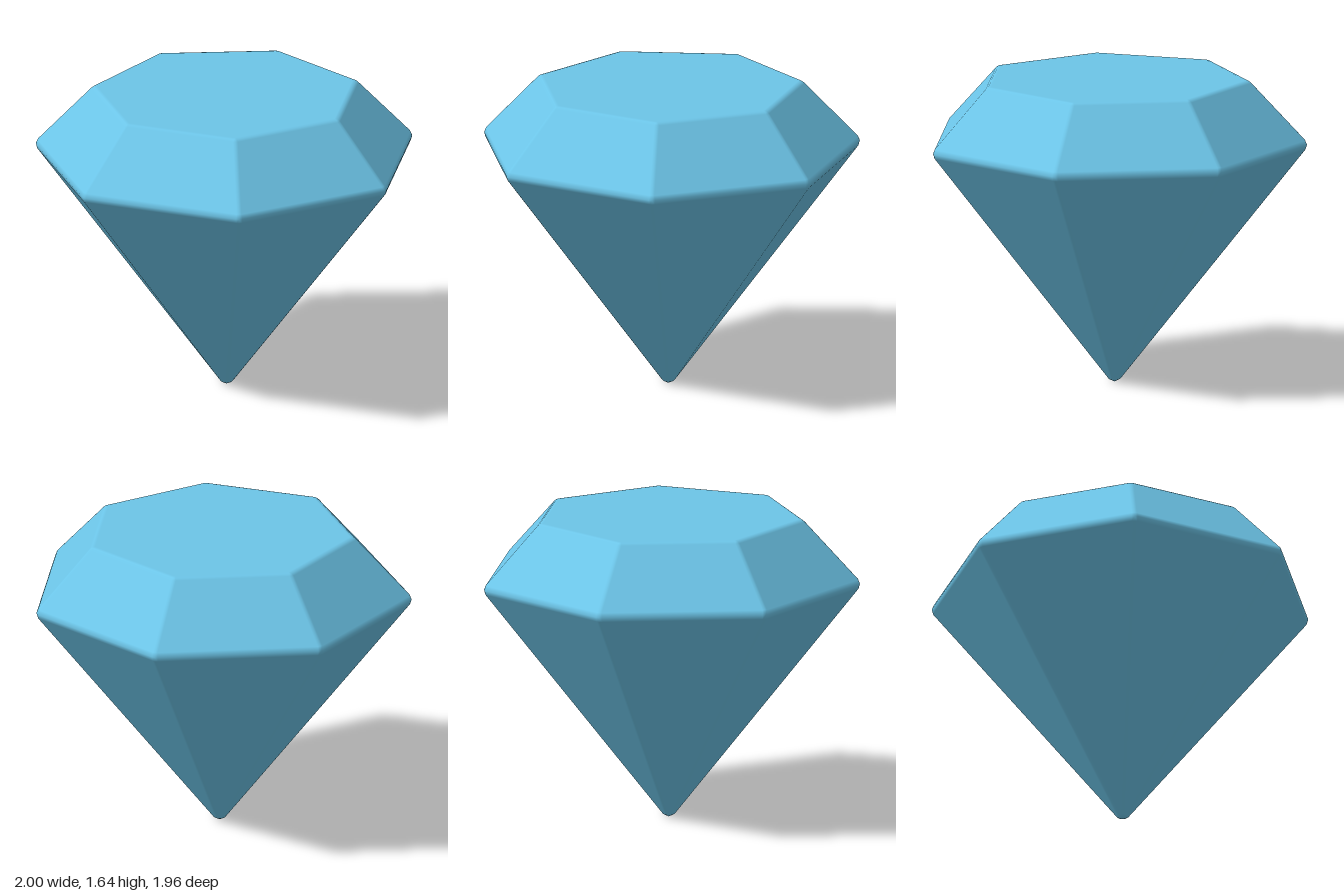
import * as THREE from 'three';
import { ConvexGeometry } from 'three/addons/geometries/ConvexGeometry.js';

const SIDES = 7;
const BEVEL = 0.04;
const TOP = 1.645;
const CENTRE_Z = -0.05;

// Corner points of one heptagonal ring, first corner at the front
function ring(radius, y) {
  return Array.from({ length: SIDES }, (_, i) => {
    const a = (i / SIDES) * Math.PI * 2;
    return new THREE.Vector3(radius * Math.sin(a), y, radius * Math.cos(a));
  });
}

// Outward normal of each sloped facet between two rings (or a ring and the tip)
function facetNormals(corners, target) {
  return corners.map((a, i) => {
    const along = corners[(i + 1) % SIDES].clone().sub(a);
    const n = along.cross(target(i).clone().sub(a)).normalize();
    const out = a.clone().add(corners[(i + 1) % SIDES]).setY(0);
    return n.dot(out) < 0 ? n.negate() : n;
  });
}

const blend = (...v) => v.reduce((s, n) => s.add(n), new THREE.Vector3()).normalize();

// Facet normals around a corner, plus the rounded directions between them
function cornerDirections(normals) {
  const mids = normals.map((n, i) => blend(n, normals[(i + 1) % normals.length]));
  return [...normals, ...mids, blend(...normals)];
}

function createGemGeometry() {
  // Core corners, inset by the bevel radius
  const girdle = ring(0.988, 1.3);
  const table = ring(0.7, TOP - BEVEL);
  const tip = new THREE.Vector3(0, BEVEL, 0);

  const up = new THREE.Vector3(0, 1, 0);
  const crown = facetNormals(girdle, (i) => table[i]);
  const pavilion = facetNormals(girdle, () => tip);

  const centres = [...girdle, ...table, tip];
  const points = [];
  const addCorner = (centre, normals) => {
    for (const d of cornerDirections(normals)) points.push(centre.clone().addScaledVector(d, BEVEL));
  };
  for (let i = 0; i < SIDES; i++) {
    const j = (i + SIDES - 1) % SIDES;
    addCorner(girdle[i], [crown[j], crown[i], pavilion[i], pavilion[j]]);
    addCorner(table[i], [up, crown[j], crown[i]]);
  }
  addCorner(tip, pavilion);

  // Flat facets with smoothly shaded bevels: normals point away from the core corner
  const geometry = new ConvexGeometry(points);
  const position = geometry.attributes.position;
  const normal = geometry.attributes.normal;
  const p = new THREE.Vector3();
  for (let i = 0; i < position.count; i++) {
    p.fromBufferAttribute(position, i);
    const centre = centres.reduce((best, c) => (c.distanceTo(p) < best.distanceTo(p) ? c : best));
    p.sub(centre).normalize();
    normal.setXYZ(i, p.x, p.y, p.z);
  }
  return geometry.translate(0, 0, CENTRE_Z);
}

export function createModel() {
  const group = new THREE.Group();
  group.name = 'gem';
  const gem = new THREE.Mesh(createGemGeometry(), new THREE.MeshStandardMaterial({ color: 0x6cc5e8 }));
  gem.name = 'cutStone';
  group.add(gem);
  return group;
}
